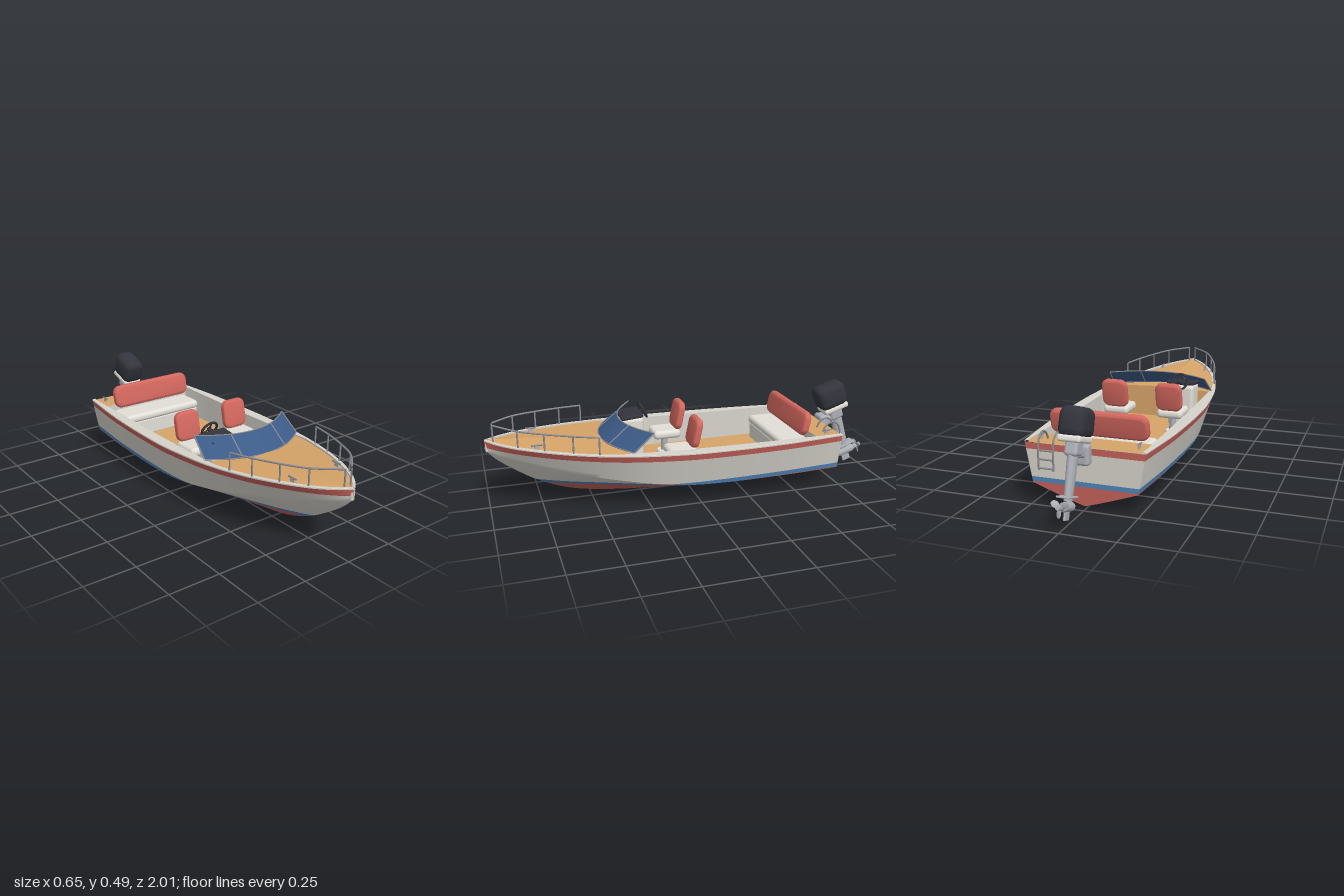
import * as THREE from 'three';
import { toCreasedNormals } from 'three/addons/utils/BufferGeometryUtils.js';
import { RoundedBoxGeometry } from 'three/addons/geometries/RoundedBoxGeometry.js';

const mat = (name, color, side = THREE.FrontSide) =>
  Object.assign(new THREE.MeshStandardMaterial({ color, side }), { name });

// Hull lines: z, keel y, chine x, chine y, sheer x, sheer y
const LINES = [
  [-0.735, 0.018, 0.245, 0.1, 0.28, 0.285], [-0.4, 0.008, 0.268, 0.102, 0.314, 0.286],
  [0, 0.002, 0.276, 0.11, 0.325, 0.29], [0.2, 0.008, 0.263, 0.13, 0.313, 0.295],
  [0.4, 0.023, 0.23, 0.162, 0.288, 0.303], [0.6, 0.056, 0.178, 0.2, 0.238, 0.315],
  [0.75, 0.113, 0.127, 0.234, 0.181, 0.326], [0.87, 0.187, 0.075, 0.264, 0.118, 0.335],
  [0.95, 0.248, 0.032, 0.285, 0.057, 0.342], [1, 0.3, 0.002, 0.305, 0.005, 0.348],
];
const STERN = -0.735, FLOOR = 0.14, FORE = 0.36, AFT = -0.6;

// Smooth interpolation of one column of the hull lines
function line(z, c) {
  let i = 0;
  while (i < LINES.length - 2 && z > LINES[i + 1][0]) i++;
  const slope = (k) => {
    const a = LINES[Math.max(k - 1, 0)], b = LINES[Math.min(k + 1, LINES.length - 1)];
    return (b[c] - a[c]) / (b[0] - a[0]);
  };
  const a = LINES[i], b = LINES[i + 1], h = b[0] - a[0], t = (z - a[0]) / h;
  const t2 = t * t, t3 = t2 * t;
  return (2 * t3 - 3 * t2 + 1) * a[c] + (t3 - 2 * t2 + t) * h * slope(i)
    + (3 * t2 - 2 * t3) * b[c] + (t3 - t2) * h * slope(i + 1);
}
const sheerX = (z) => line(z, 4), sheerY = (z) => line(z, 5);
const innerX = (z) => Math.max(0, Math.min(0.266, sheerX(z) - 0.019));

// Half breadth of the hull at height y
function hullX(z, y) {
  const k = line(z, 1), cx = line(z, 2), cy = line(z, 3);
  if (y <= k) return 0;
  if (y < cy) return cx * Math.pow((y - k) / (cy - k), 0.92);
  return cx + (sheerX(z) - cx) * (y - cy) / (sheerY(z) - cy);
}
// Points up the hull side between two heights, with one on the chine
function band(z, lo, hi) {
  const k = line(z, 1), a = Math.max(lo, k), b = Math.max(hi, a);
  const c = Math.min(Math.max(line(z, 3), a), b), pts = [];
  for (let i = 0; i <= 5; i++) pts.push(a + (c - a) * i / 5);
  for (let i = 1; i <= 4; i++) pts.push(c + (b - c) * i / 4);
  return pts.map((y) => [hullX(z, y), y]);
}
// Upholstered pad: rounded outline with soft edges
function pad(w, h, d, r) {
  const bevel = d * 0.42, x = w / 2 - bevel - r, y = h / 2 - bevel - r, s = new THREE.Shape();
  [[x, y], [-x, y], [-x, -y], [x, -y]].forEach(([cx, cy], i) =>
    s.absarc(cx, cy, r, i * Math.PI / 2, (i + 1) * Math.PI / 2, false));
  const g = new THREE.ExtrudeGeometry(s, { depth: d - 2 * bevel, bevelThickness: bevel, bevelSize: bevel, bevelSegments: 4, curveSegments: 6 });
  return toCreasedNormals(g.translate(0, 0, bevel - d / 2), 0.8);
}

export function createModel() {
  const boat = new THREE.Group();
  boat.name = 'motorboat';
  const M = {
    hull: mat('hull grey', 0xd6d3cb, THREE.DoubleSide), red: mat('bottom red', 0xc4615a),
    blue: mat('waterline blue', 0x4d84b6), tan: mat('deck tan', 0xd6a468, THREE.DoubleSide),
    glass: mat('windscreen blue', 0x3c5b88, THREE.DoubleSide), cushion: mat('cushion red', 0xd4685f),
    seat: mat('upholstery grey', 0xe2dfd7), dark: mat('cowl black', 0x33343d),
    steel: mat('steel', 0xaeb0b8), rail: mat('rail grey', 0x8a8c92),
  };
  const add = (name, geo, m, x = 0, y = 0, z = 0, parent = boat) => {
    const mesh = new THREE.Mesh(geo, m);
    mesh.name = name;
    mesh.position.set(x, y, z);
    parent.add(mesh);
    return mesh;
  };
  const box = (w, h, d, r = 0.01) => new RoundedBoxGeometry(w, h, d, 3, r);
  const vec = (p) => new THREE.Vector3(...p);
  const tube = (name, pts, r, m = M.rail, parent = boat) => add(name, new THREE.TubeGeometry(
    new THREE.CatmullRomCurve3(pts.map(vec), false, 'centripetal'), Math.max(2, pts.length * 5), r, 8), m, 0, 0, 0, parent);

  // Lofts a half section along z on both sides
  function strip(name, m, z0, z1, profile) {
    const n = Math.ceil((z1 - z0) * 50);
    for (const s of [1, -1]) {
      const pos = [], idx = [];
      let w = 0;
      for (let i = 0; i <= n; i++) {
        const z = z0 + (z1 - z0) * i / n, pts = profile(z);
        w = pts.length;
        pts.forEach(([x, y]) => pos.push(s * x, y, z));
      }
      for (let i = 0; i < n; i++) for (let j = 0; j < w - 1; j++) {
        const a = i * w + j, b = a + 1, c = a + w, d = c + 1;
        idx.push(...(s > 0 ? [a, b, c, b, d, c] : [a, c, b, b, c, d]));
      }
      const g = new THREE.BufferGeometry();
      g.setAttribute('position', new THREE.Float32BufferAttribute(pos, 3));
      g.setIndex(idx);
      add(name + (s > 0 ? 'Left' : 'Right'), toCreasedNormals(g, 0.45), m);
    }
  }
  // Flat cross wall from a half outline
  function wall(name, m, z, half, back) {
    const pts = [...half, ...half.map(([x, y]) => [-x, y]).reverse()];
    const g = new THREE.ShapeGeometry(new THREE.Shape(pts.map((p) => new THREE.Vector2(...p))));
    if (back) g.rotateY(Math.PI);
    add(name, g, m, 0, 0, z);
  }

  // Hull sides and transom in painted bands
  const bands = [
    ['bottom', M.red, () => -1, () => 0.105], ['waterline', M.blue, () => 0.105, () => 0.127],
    ['topside', M.hull, () => 0.127, (z) => sheerY(z) - 0.033],
    ['sheerStripe', M.red, (z) => sheerY(z) - 0.033, (z) => sheerY(z) - 0.003],
  ];
  for (const [name, m, lo, hi] of bands) {
    strip(name, m, STERN, 1, (z) => band(z, lo(z), hi(z)));
    wall(name + 'Transom', m, STERN, band(STERN, lo(STERN), hi(STERN)), true);
  }

  // Gunwale, inner walls, floor and decks
  strip('gunwale', M.hull, STERN, 1, (z) => {
    const x = sheerX(z), y = sheerY(z);
    return [[x, y - 0.003], [x, y + 0.003], [Math.max(0, x - 0.003), y + 0.005], [innerX(z), y + 0.005], [innerX(z), y - 0.012]];
  });
  const floorX = (z) => Math.min(innerX(z), hullX(z, FLOOR) - 0.012);
  strip('innerWall', M.hull, AFT, FORE, (z) => [[innerX(z), sheerY(z)], [floorX(z), FLOOR]]);
  strip('floor', M.tan, AFT, FORE, (z) => [[floorX(z), FLOOR], [0, FLOOR]]);
  strip('foredeck', M.tan, FORE, 0.985, (z) => [1, 0.75, 0.5, 0.25, 0].map(
    (t) => [innerX(z) * t, sheerY(z) - 0.002 + 0.012 * (1 - t)]));
  strip('aftDeck', M.tan, STERN, AFT, (z) => [[innerX(z), sheerY(z) - 0.001], [0, sheerY(z) - 0.001]]);
  const bulkhead = (z) => [[floorX(z), FLOOR], [innerX(z), sheerY(z) - 0.001]];
  wall('foreBulkhead', M.tan, FORE, [...bulkhead(FORE), [0, sheerY(FORE) + 0.01]], true);
  wall('aftBulkhead', M.hull, AFT, bulkhead(AFT), false);
  add('bowRoller', box(0.022, 0.06, 0.03, 0.008), M.hull, 0, 0.32, 0.983);

  // Two pedestal seats
  for (const x of [-0.145, 0.145]) {
    const seat = new THREE.Group();
    seat.name = 'seat';
    seat.position.set(x, 0, 0);
    boat.add(seat);
    add('seatBase', new THREE.CylinderGeometry(0.038, 0.042, 0.012, 20), M.seat, 0, 0.146, 0.08, seat);
    add('seatPost', new THREE.CylinderGeometry(0.018, 0.018, 0.09, 16), M.steel, 0, 0.19, 0.08, seat);
    add('seatCushion', box(0.135, 0.045, 0.145, 0.02), M.seat, 0, 0.25, 0.078, seat);
    add('seatBack', pad(0.138, 0.148, 0.036, 0.022), M.cushion, 0, 0.342, 0.008, seat).rotation.x = -0.2;
  }

  // Stern bench
  add('benchBase', box(0.46, 0.09, 0.15), M.seat, 0, 0.18, -0.51);
  add('benchCushion', box(0.47, 0.045, 0.155, 0.02), M.seat, 0, 0.242, -0.505);
  add('benchBack', pad(0.47, 0.122, 0.038, 0.025), M.cushion, 0, 0.34, -0.56).rotation.x = -0.22;

  // Helm console with steering wheel
  add('console', box(0.14, 0.22, 0.12, 0.02), M.seat, -0.145, 0.25, 0.265);
  add('dashboard', box(0.15, 0.02, 0.115, 0.009), M.dark, -0.145, 0.366, 0.265).rotation.x = 0.1;
  const wheel = new THREE.Group();
  wheel.name = 'steeringWheel';
  wheel.position.set(-0.145, 0.382, 0.195);
  wheel.rotation.x = 0.47;
  boat.add(wheel);
  add('wheelRim', new THREE.TorusGeometry(0.042, 0.006, 8, 28), M.dark, 0, 0, 0, wheel);
  add('wheelHub', new THREE.SphereGeometry(0.012, 12, 8), M.dark, 0, 0, 0, wheel);
  for (let i = 0; i < 3; i++) {
    const a = Math.PI / 2 + i * Math.PI * 2 / 3;
    tube('wheelSpoke', [[0, 0, 0], [0.042 * Math.cos(a), 0.042 * Math.sin(a), 0]], 0.004, M.dark, wheel);
  }
  tube('wheelColumn', [[0, 0, 0], [0, 0, 0.06]], 0.009, M.dark, wheel);

  // Raked wraparound windscreen with frame
  const screen = (u, v) => [u * (0.28 - 0.013 * v), 0.313 + 0.082 * v, 0.452 - 0.1 * v - 0.11 * u * u];
  const glass = new THREE.PlaneGeometry(2, 1, 24, 1);
  const gp = glass.attributes.position;
  for (let i = 0; i < gp.count; i++) gp.setXYZ(i, ...screen(gp.getX(i), gp.getY(i) + 0.5));
  glass.computeVertexNormals();
  add('windscreen', glass, M.glass);
  const us = [-1, -0.75, -0.5, -0.25, 0, 0.25, 0.5, 0.75, 1];
  tube('screenTopFrame', us.map((u) => screen(u, 1)), 0.003);
  tube('screenBottomFrame', us.map((u) => screen(u, 0)), 0.003);
  for (const u of [-1, -0.45, 0.45, 1]) tube('screenPost', [screen(u, 0), screen(u, 1)], 0.0035);

  for (const s of [1, -1]) {
    // Bow rail and its posts
    const railX = (z) => s * (z > 0.95 ? 0.018 : sheerX(z) - 0.008);
    const railY = (z) => 0.398 + 0.028 * (z - 0.5) / 0.46;
    const posts = [0.96, 0.855, 0.74, 0.615, 0.5];
    tube('bowRail', posts.map((z) => [railX(z), railY(z), z]), 0.0045);
    for (const z of posts) tube('bowRailPost', [[railX(z), sheerY(z), z], [railX(z), railY(z), z]], 0.004);
    // Mooring cleats
    for (const [x, z] of [[0.13, 0.77], [0.228, -0.675]]) {
      const y = sheerY(z) + 0.004;
      add('cleatFoot', new THREE.BoxGeometry(0.008, 0.016, 0.024), M.steel, s * x, y + 0.004, z);
      tube('cleatBar', [[s * x, y + 0.014, z - 0.027], [s * x, y + 0.014, z + 0.027]], 0.004);
    }
  }

  // Boarding ladder over the transom
  for (const x of [0.13, 0.2]) tube('ladderSide', [[x, 0.285, -0.665], [x, 0.318, -0.685],
    [x, 0.332, -0.718], [x, 0.315, -0.75], [x, 0.27, -0.764], [x, 0.17, -0.764]], 0.0045);
  for (const y of [0.18, 0.22, 0.26]) tube('ladderRung', [[0.13, y, -0.764], [0.2, y, -0.764]], 0.0045);

  // Outboard motor, tilted on its bracket
  add('motorBracket', box(0.08, 0.095, 0.05, 0.015), M.steel, 0, 0.262, -0.757);
  const motor = new THREE.Group();
  motor.name = 'outboardMotor';
  motor.position.set(0, 0.332, -0.828);
  motor.rotation.x = 0.32;
  boat.add(motor);
  const cowl = box(0.115, 0.13, 0.16, 0.036), cp = cowl.attributes.position;
  for (let i = 0; i < cp.count; i++) {
    const t = cp.getY(i) / 0.13;
    cp.setXYZ(i, cp.getX(i) * (1 - 0.08 * t), cp.getY(i), cp.getZ(i) * (1 + 0.08 * t));
  }
  cowl.computeVertexNormals();
  add('cowl', toCreasedNormals(cowl, 0.7), M.dark, 0, 0.085, 0.003, motor);
  add('cowlPan', box(0.105, 0.03, 0.14, 0.012), M.seat, 0, 0.016, 0, motor);
  add('motorMidsection', box(0.06, 0.07, 0.075, 0.015), M.steel, 0, -0.02, 0, motor);
  add('motorLeg', new THREE.CylinderGeometry(0.032, 0.025, 0.22, 16).scale(0.7, 1, 1.1), M.steel, 0, -0.13, 0, motor);
  add('motorClamp', box(0.05, 0.04, 0.09, 0.01), M.steel, 0, -0.04, 0.045, motor);
  add('antiVentilationPlate', box(0.06, 0.009, 0.1, 0.004), M.steel, 0, -0.222, -0.012, motor);
  add('gearcase', new THREE.CapsuleGeometry(0.021, 0.07, 6, 16).rotateX(Math.PI / 2), M.steel, 0, -0.263, -0.005, motor);
  add('skeg', box(0.01, 0.05, 0.045, 0.004), M.steel, 0, -0.295, 0.0, motor);
  const propeller = new THREE.Group();
  propeller.name = 'propeller';
  propeller.position.set(0, -0.263, -0.078);
  motor.add(propeller);
  add('propellerHub', new THREE.CylinderGeometry(0.014, 0.01, 0.04, 14).rotateX(Math.PI / 2), M.steel, 0, 0, 0, propeller);
  for (let i = 0; i < 3; i++) {
    const arm = new THREE.Group();
    arm.name = 'propellerBlade';
    arm.rotation.z = Math.PI + i * Math.PI * 2 / 3;
    propeller.add(arm);
    add('blade', new THREE.SphereGeometry(1, 14, 10).scale(0.015, 0.019, 0.003), M.steel, 0, 0.025, 0, arm).rotation.y = 0.5;
  }
  return boat;
}
